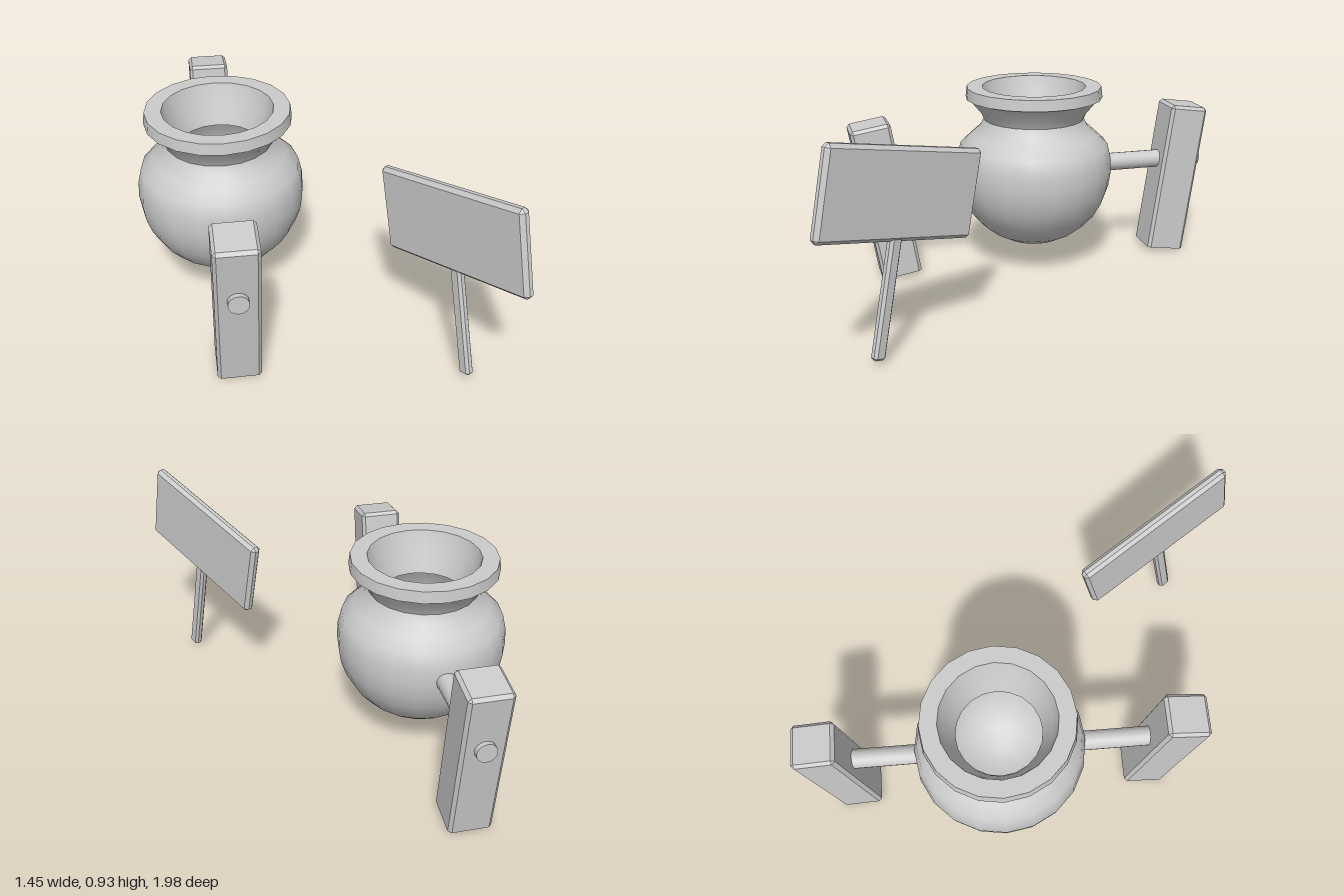
import * as THREE from 'three';
import { toCreasedNormals } from 'three/addons/utils/BufferGeometryUtils.js';
import { ConvexGeometry } from 'three/addons/geometries/ConvexGeometry.js';

const material = new THREE.MeshStandardMaterial({ color: 0xcccccc });
const POT_X = -0.355, POT_Z = -0.135;

function addMesh(parent, name, geometry) {
  const mesh = new THREE.Mesh(geometry, material);
  mesh.name = name;
  parent.add(mesh);
  return mesh;
}

// Box with chamfered edges; the bottom rim can be left sharp
function chamferBox(w, h, d, c, sharpBottom = false) {
  const points = [];
  for (const sx of [-1, 1]) for (const sy of [-1, 1]) for (const sz of [-1, 1]) {
    const x = w / 2, y = h / 2, z = d / 2;
    const cy = sharpBottom && sy < 0 ? 0 : c;
    points.push(new THREE.Vector3(sx * x, sy * (y - cy), sz * (z - c)));
    points.push(new THREE.Vector3(sx * (x - c), sy * (y - cy), sz * z));
    if (cy) points.push(new THREE.Vector3(sx * (x - c), sy * y, sz * (z - c)));
  }
  return new ConvexGeometry(points);
}

// Round pot: bowl, neck, flared rim, then down the funnel into the cavity
function potGeometry() {
  const profile = [];
  for (let i = 0; i <= 10; i++) {
    const a = -Math.PI / 2 + (i / 10) * (Math.PI / 2 + 0.33);
    profile.push([Math.max(0, 0.373 * Math.cos(a)), 0.475 + 0.373 * Math.sin(a)]);
  }
  profile.push(
    [0.3, 0.645], [0.255, 0.685], [0.238, 0.72], [0.255, 0.755], [0.31, 0.822],
    [0.324, 0.822], [0.318, 0.873], [0.245, 0.873],
    [0.225, 0.8], [0.195, 0.73], [0.182, 0.69],
  );
  for (let i = 0; i <= 8; i++) {
    const a = 0.7 - (i / 8) * (Math.PI / 2 + 0.7);
    profile.push([Math.max(0, 0.31 * Math.cos(a)), 0.475 + 0.31 * Math.sin(a)]);
  }
  const lathe = new THREE.LatheGeometry(profile.map(([r, y]) => new THREE.Vector2(r, y)), 20);
  return toCreasedNormals(lathe, 0.65);
}

// Cylinder along z between two depths
function addRod(parent, name, z0, z1) {
  const rod = addMesh(parent, name,
    toCreasedNormals(new THREE.CylinderGeometry(0.043, 0.043, Math.abs(z1 - z0), 16), 0.6));
  rod.rotation.x = Math.PI / 2;
  rod.position.set(POT_X, 0.47, (z0 + z1) / 2);
}

export function createModel() {
  const model = new THREE.Group();
  model.name = 'hangingPotAndSign';

  addMesh(model, 'pot', potGeometry()).position.set(POT_X, 0, POT_Z);

  // Leaning posts with the rods that carry the pot
  const supports = [
    { side: 'front', z: 0.592, tilt: 0.165, rod: [0.2, 0.73] },
    { side: 'back', z: -0.853, tilt: -0.137, rod: [-0.47, -0.985] },
  ];
  for (const { side, z, tilt, rod } of supports) {
    const post = addMesh(model, side + 'Post', chamferBox(0.186, 0.73, 0.186, 0.014, true));
    post.position.set(POT_X, 0.38, z);
    post.rotation.x = tilt;
    addRod(model, side + 'Rod', ...rod);
  }

  // Tilted sign: panel on a stake
  const sign = new THREE.Group();
  sign.name = 'sign';
  addMesh(sign, 'signPanel', chamferBox(0.76, 0.37, 0.05, 0.016));
  addMesh(sign, 'signStake', chamferBox(0.056, 0.5, 0.04, 0.011)).position.y = -0.415;
  sign.position.set(0.503, 0.675, 0.632);
  sign.rotation.set(0, -Math.PI / 3, 0.222);
  model.add(sign);

  return model;
}
